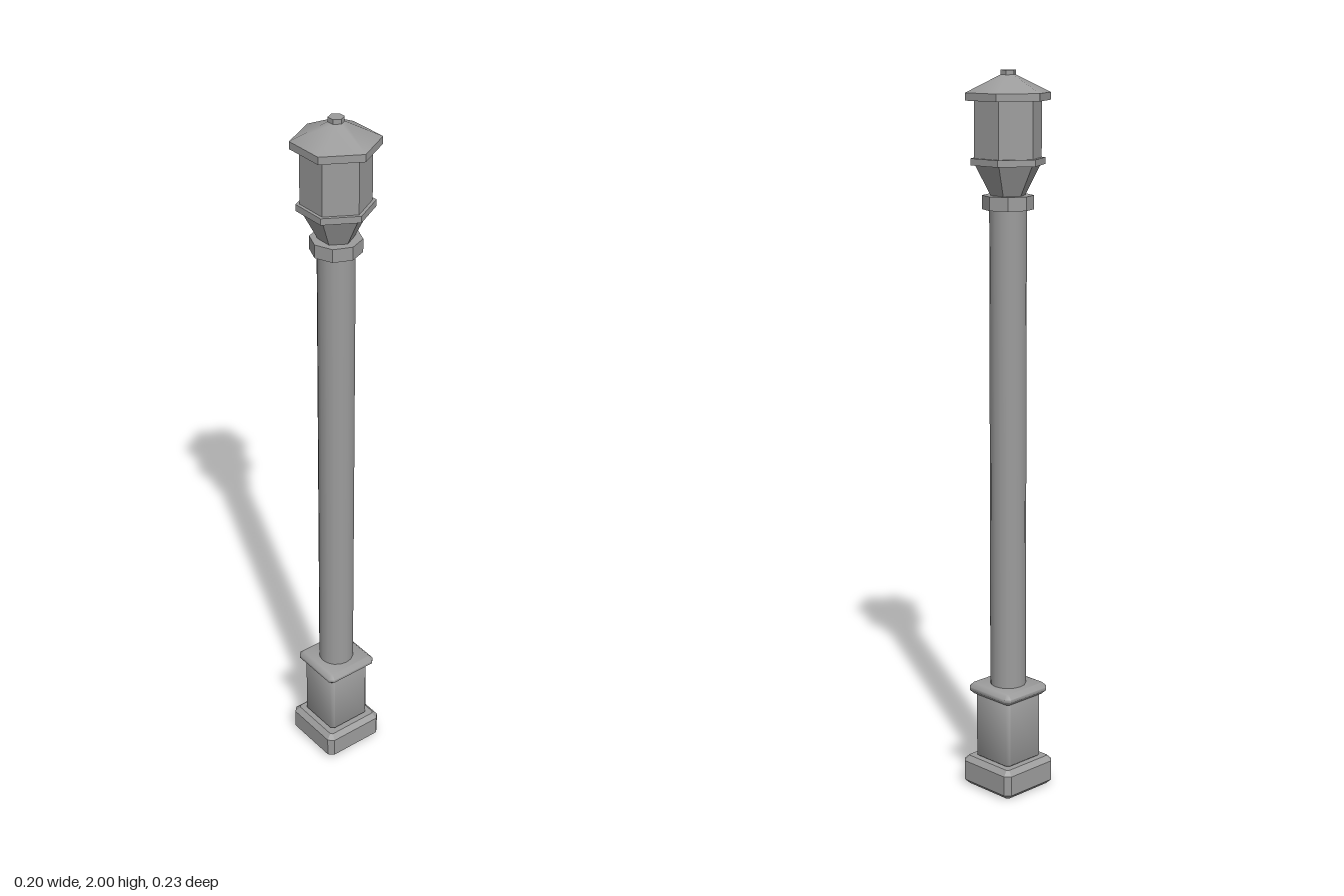
import * as THREE from 'three';
import { toCreasedNormals } from 'three/addons/utils/BufferGeometryUtils.js';

// Square block from y0 to y1, half width h, with every edge cut back by c
function chamferedBlock(h, y0, y1, c, crease) {
  const a = h - c, b = a - 0.414 * c;
  const outline = [[a, -b], [a, b], [b, a], [-b, a], [-a, b], [-a, -b], [-b, -a], [b, -a]];
  const shape = new THREE.Shape(outline.map(([x, y]) => new THREE.Vector2(x, y)));
  const geo = new THREE.ExtrudeGeometry(shape, {
    depth: y1 - y0 - 2 * c, bevelEnabled: true, bevelThickness: c, bevelSize: c, bevelSegments: 1,
  });
  geo.rotateX(-Math.PI / 2);
  geo.translate(0, y0 + c, 0);
  return toCreasedNormals(geo, crease);
}

// Upright prism or frustum from y0 to y1 with a corner on the z axis
function prism(rTop, rBottom, y0, y1, sides) {
  const geo = new THREE.CylinderGeometry(rTop, rBottom, y1 - y0, sides);
  geo.translate(0, (y0 + y1) / 2, 0);
  return geo;
}

export function createModel() {
  const model = new THREE.Group();
  model.name = 'lampPost';
  const metal = new THREE.MeshStandardMaterial({ color: 0x9c9c9c });
  metal.name = 'greyMetal';

  const add = (name, geo, parent = model) => {
    const mesh = new THREE.Mesh(geo, metal);
    mesh.name = name;
    parent.add(mesh);
  };
  const faceted = (...args) => toCreasedNormals(prism(...args), 0.3);

  // Square pedestal
  add('basePlinth', chamferedBlock(0.094, 0, 0.085, 0.014, 0.3));
  add('pedestal', chamferedBlock(0.067, 0.08, 0.285, 0.01, 1.0));
  add('pedestalCap', chamferedBlock(0.082, 0.273, 0.305, 0.012, 1.0));

  // Round post and its collar
  add('post', prism(0.05, 0.05, 0.3, 1.65, 16));
  add('collar', faceted(0.069, 0.069, 1.638, 1.675, 8));

  // Hexagonal lantern
  const lantern = new THREE.Group();
  lantern.name = 'lantern';
  model.add(lantern);
  add('lanternNeck', faceted(0.092, 0.046, 1.672, 1.76, 6), lantern);
  add('lanternSill', faceted(0.102, 0.102, 1.755, 1.773, 6), lantern);
  add('lanternBody', faceted(0.092, 0.092, 1.77, 1.925, 6), lantern);
  add('eave', faceted(0.116, 0.116, 1.922, 1.942, 6), lantern);
  add('roof', prism(0.02, 0.116, 1.942, 1.988, 6), lantern);
  add('finial', faceted(0.021, 0.021, 1.98, 2, 6), lantern);

  return model;
}
